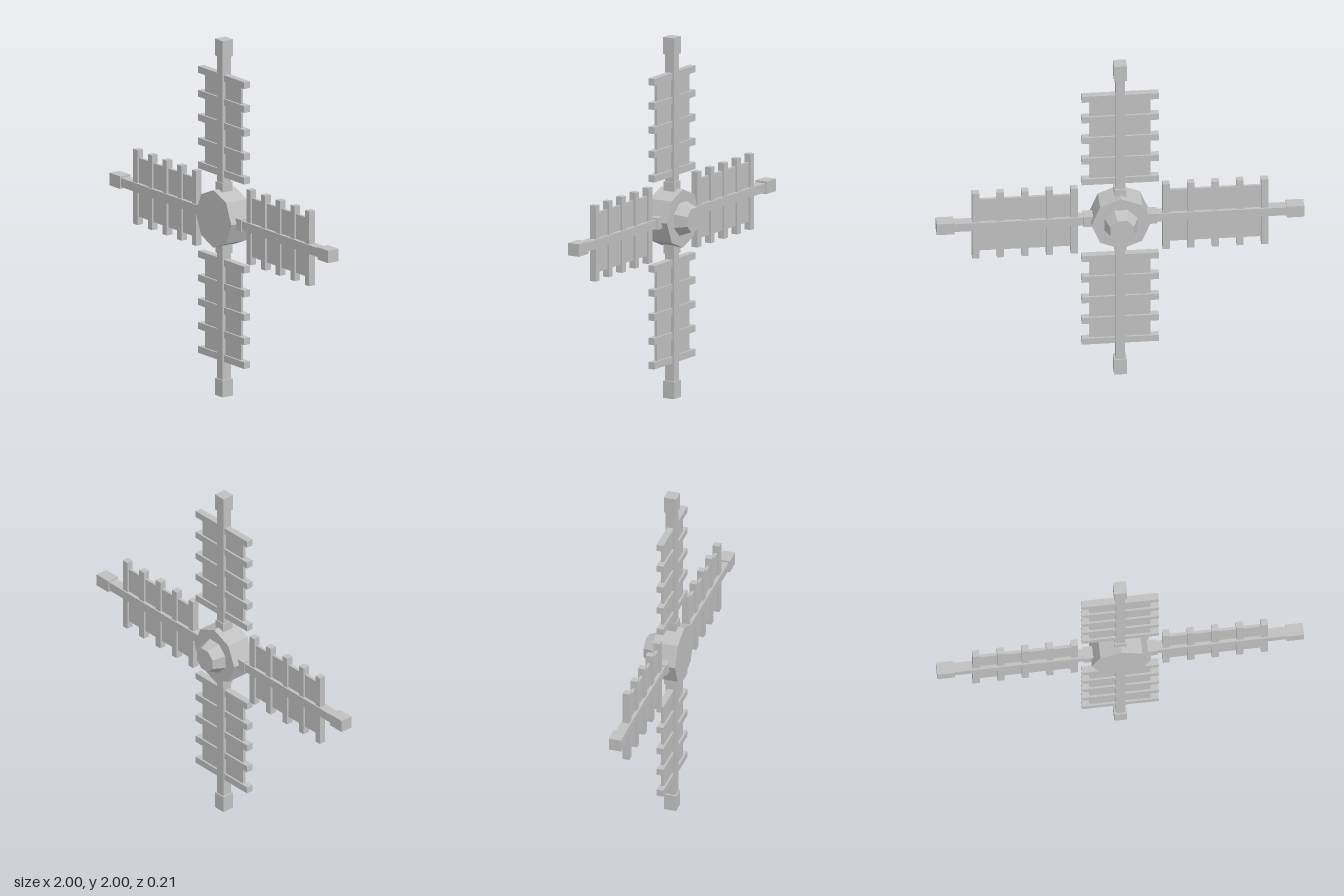
import * as THREE from 'three';

export function createModel() {
  const model = new THREE.Group();
  model.name = 'windmillSails';
  const grey = new THREE.MeshStandardMaterial({ color: 0xc0c0c0 });
  grey.name = 'plainGrey';
  const ARM_Z = 0.035;

  function add(parent, name, geometry, x, y, z) {
    const mesh = new THREE.Mesh(geometry, grey);
    mesh.name = name;
    mesh.position.set(x, y, z);
    parent.add(mesh);
    return mesh;
  }

  // Eight-sided prism or frustum lying along z, with flat facets
  function octagon(frontRadius, backRadius, depth, turn) {
    return new THREE.CylinderGeometry(frontRadius, backRadius, depth, 8)
      .rotateY(turn).rotateX(Math.PI / 2).toNonIndexed();
  }
  function faceted(geometry) {
    geometry.computeVertexNormals();
    return geometry;
  }

  // Hub with a tapered axle boss at the back
  add(model, 'hub', faceted(octagon(0.162, 0.162, 0.14, 0)), 0, 1, 0.035);
  add(model, 'axleBoss', faceted(octagon(0.097, 0.07, 0.07, Math.PI / 8)), 0, 1, -0.07);

  // One sail, pointing up from the hub centre
  function createSail() {
    const sail = new THREE.Group();
    const box = (name, w, h, d, y) =>
      add(sail, name, new THREE.BoxGeometry(w, h, d), 0, y, ARM_Z);
    box('spar', 0.05, 0.85, 0.055, 0.525);
    box('sparCollar', 0.064, 0.11, 0.068, 0.145);
    box('sparTip', 0.07, 0.095, 0.07, 0.9525);
    box('sailPanel', 0.33, 0.54, 0.016, 0.518);
    for (let i = 0; i < 5; i++) box('slat', 0.42, 0.038, 0.038, 0.25 + i * 0.134);
    return sail;
  }

  // Four sails around the hub
  ['topSail', 'rightSail', 'bottomSail', 'leftSail'].forEach((name, i) => {
    const sail = createSail();
    sail.name = name;
    sail.position.y = 1;
    sail.rotation.z = (i * Math.PI) / 2;
    model.add(sail);
  });

  return model;
}
